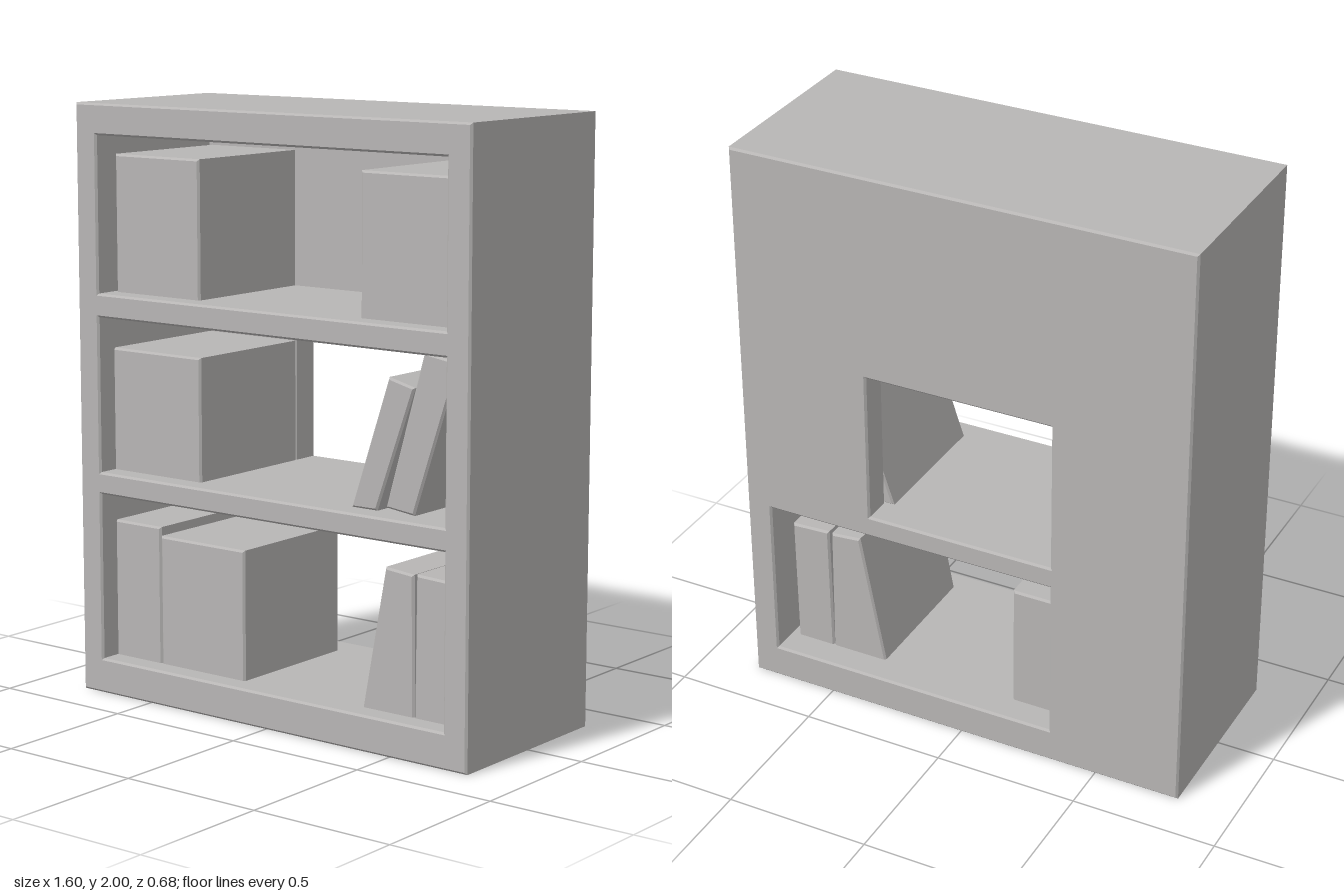
import * as THREE from 'three';

const BEVEL = 0.007;
const grey = new THREE.MeshStandardMaterial({ color: 0xb8b6b5 });
grey.name = 'plain grey';

const rect = (x0, x1, y0, y1) => [[x0, y0], [x1, y0], [x1, y1], [x0, y1]];
const points = (list) => list.map(([x, y]) => new THREE.Vector2(x, y));

// Extrudes an outline from z0 to z1 with softly worn edges kept inside it
function slab(name, outline, z0, z1, holes = []) {
  const shape = new THREE.Shape(points(outline));
  for (const hole of holes) shape.holes.push(new THREE.Path(points(hole)));
  const geometry = new THREE.ExtrudeGeometry(shape, {
    depth: z1 - z0 - 2 * BEVEL,
    bevelEnabled: true,
    bevelThickness: BEVEL,
    bevelSize: BEVEL,
    bevelOffset: -BEVEL,
    bevelSegments: 1,
  });
  geometry.translate(0, 0, z0 + BEVEL);
  const mesh = new THREE.Mesh(geometry, grey);
  mesh.name = name;
  return mesh;
}

export function createModel() {
  const model = new THREE.Group();
  model.name = 'bookcase';

  // Case with three open bays
  const outer = rect(-0.8, 0.8, 0, 2);
  const bays = [[0.12, 0.69], [0.765, 1.29], [1.37, 1.895]];
  model.add(slab('shelfFrame', outer, -0.3, 0.34,
    bays.map(([low, high]) => rect(-0.71, 0.71, low, high))));

  // Back panel, broken open behind the two lower bays
  model.add(slab('backPanel', outer, -0.34, -0.235, [
    rect(-0.33, 0.71, 0.12, 0.69),
    rect(-0.33, 0.33, 0.765, 1.29),
  ]));

  // Books and book blocks, each an outline seen from the front
  const books = {
    topLeftBooks: rect(-0.695, -0.33, 1.36, 1.83),
    topRightBooks: rect(0.33, 0.685, 1.36, 1.83),
    middleLeftBooks: rect(-0.715, -0.33, 0.755, 1.18),
    leaningShortBook: [[0.295, 0.765], [0.395, 0.765], [0.54, 1.17], [0.44, 1.195]],
    leaningTallBook: [[0.43, 0.78], [0.54, 0.767], [0.705, 1.265], [0.575, 1.285]],
    bottomLeftBook: rect(-0.715, -0.51, 0.11, 0.59),
    bottomWideBooks: rect(-0.51, -0.147, 0.11, 0.56),
    bottomTaperedBook: [[0.34, 0.11], [0.545, 0.11], [0.54, 0.58], [0.43, 0.59]],
    bottomRightBook: [[0.545, 0.11], [0.685, 0.11], [0.69, 0.577], [0.55, 0.583]],
  };
  for (const [name, outline] of Object.entries(books)) {
    model.add(slab(name, outline, -0.24, 0.265));
  }
  return model;
}
